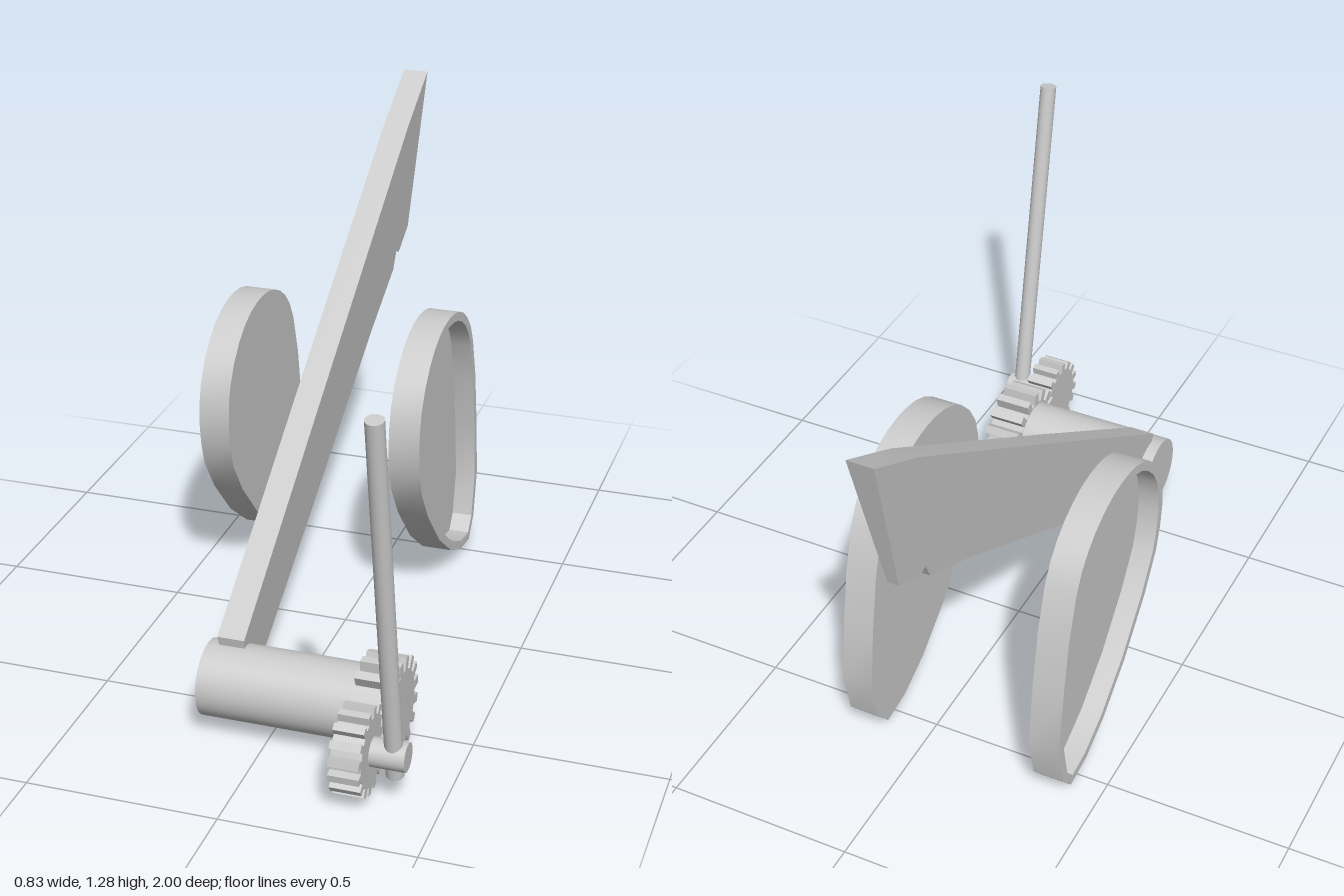
import * as THREE from 'three';
import { toCreasedNormals } from 'three/addons/utils/BufferGeometryUtils.js';

const material = new THREE.MeshStandardMaterial({ color: 0xcccccc });

function addMesh(parent, name, geometry) {
  const mesh = new THREE.Mesh(geometry, material);
  mesh.name = name;
  parent.add(mesh);
  return mesh;
}

const toPoints = (pairs) => pairs.map(([u, y]) => new THREE.Vector2(u, y));

// Side profile given as (-z, y), extruded along x from x0 to x1
function sideExtrude(shape, x0, x1) {
  const g = new THREE.ExtrudeGeometry(shape, { depth: x1 - x0, bevelEnabled: false });
  g.rotateY(Math.PI / 2);
  g.translate(x0, 0, 0);
  return g;
}

// Cylinder lying along x
function axleGeometry(radius, x0, x1, y, z) {
  const g = new THREE.CylinderGeometry(radius, radius, x1 - x0, 40);
  g.rotateZ(-Math.PI / 2);
  g.translate((x0 + x1) / 2, y, z);
  return g;
}

// Gear with narrow straight-sided teeth
function gearShape(u, y, root, outer, teeth, toothWidth, phase) {
  const pts = [];
  const half = Math.asin(toothWidth / 2 / root);
  const halfTip = Math.asin(toothWidth / 2 / outer);
  for (let i = 0; i < teeth; i++) {
    const a = phase + (i / teeth) * Math.PI * 2;
    for (const [r, d] of [[root, -half], [outer, -halfTip], [outer, halfTip], [root, half]]) {
      pts.push(new THREE.Vector2(u + r * Math.cos(a + d), y + r * Math.sin(a + d)));
    }
  }
  return new THREE.Shape(pts);
}

// Clockwise outline moved inwards by a constant distance
function insetOutline(points, distance) {
  const n = points.length;
  const inward = (a, b) => {
    const d = b.clone().sub(a).normalize();
    return new THREE.Vector2(d.y, -d.x);
  };
  return points.map((p, i) => {
    const n1 = inward(points[(i + n - 1) % n], p);
    const n2 = inward(p, points[(i + 1) % n]);
    const scale = distance / (1 + n1.dot(n2));
    return p.clone().add(n1.add(n2).multiplyScalar(scale));
  });
}

// Blade that is full width along its top edge and half as wide along the bottom
function armGeometry() {
  const shape = new THREE.Shape(toPoints([
    [-0.608, 0.262], [0, 0.659], [0.8, 1.176], [1, 1.285], [0.88, 0.846],
    [0.787, 0.798], [0.755, 0.81], [0.732, 0.762], [0.525, 0.66], [0.016, 0.377],
    [-0.484, 0.1], [-0.57, 0.09],
  ]));
  const g = sideExtrude(shape, -0.036, 0.036);
  const p = g.attributes.position;
  for (let i = 0; i < p.count; i++) {
    const below = Math.max(0, 0.659 - 0.64 * p.getZ(i) - p.getY(i));
    p.setX(i, p.getX(i) * (1 - 1.5 * below));
  }
  g.translate(-0.106, 0, 0);
  return toCreasedNormals(g, 0.15);
}

export function createModel() {
  const model = new THREE.Group();
  model.name = 'crankMechanism';

  // Two pans, each open on the side away from the middle
  const outer = toPoints([
    [0, 0.545], [0.004, 0.6], [0.018, 0.655], [0.05, 0.71], [0.095, 0.757], [0.14, 0.788],
    [0.19, 0.808], [0.24, 0.818], [0.285, 0.82], [0.335, 0.815], [0.382, 0.802],
    [0.43, 0.78], [0.472, 0.75], [0.51, 0.71], [0.54, 0.655], [0.577, 0.535], [0.605, 0.375],
    [0.626, 0.2], [0.597, 0.067], [0.55, 0.012], [0.455, 0.026], [0.35, 0.076],
    [0.22, 0.175], [0.096, 0.31], [0.03, 0.41], [0.008, 0.48],
  ]);
  const inner = insetOutline(outer, 0.025);
  const rim = new THREE.Shape(outer);
  rim.holes.push(new THREE.Path([...inner].reverse()));
  const floor = new THREE.Shape(inner);
  for (const [name, x0, x1, floor0, floor1] of [
    ['leftPan', 0.12, 0.205, 0.12, 0.148],
    ['rightPan', -0.418, -0.333, -0.361, -0.333],
  ]) {
    const pan = new THREE.Group();
    pan.name = name;
    addMesh(pan, 'rim', toCreasedNormals(sideExtrude(rim, x0, x1), 0.4));
    addMesh(pan, 'floor', sideExtrude(floor, floor0, floor1));
    model.add(pan);
  }

  // Long notched arm rising from the drum
  addMesh(model, 'arm', armGeometry());

  // Drum and its large gear
  addMesh(model, 'drum', axleGeometry(0.099, -0.17, 0.245, 0.138, 0.6));
  addMesh(model, 'largeGear',
    sideExtrude(gearShape(-0.603, 0.139, 0.103, 0.136, 16, 0.023, 0.1), 0.24, 0.344));

  // Small gear, axle and crank handle
  addMesh(model, 'smallGear',
    sideExtrude(gearShape(-0.8, 0.136, 0.092, 0.114, 16, 0.02, Math.PI / 16), 0.248, 0.327));
  addMesh(model, 'crankAxle', axleGeometry(0.037, 0.3, 0.416, 0.136, 0.8));

  const bottom = new THREE.Vector3(0.381, 0.075, 0.79);
  const top = new THREE.Vector3(0.381, 1.101, 0.977);
  const dir = top.clone().sub(bottom);
  const handle = addMesh(model, 'crankHandle',
    new THREE.CylinderGeometry(0.023, 0.023, dir.length(), 24));
  handle.position.copy(bottom).add(top).multiplyScalar(0.5);
  handle.quaternion.setFromUnitVectors(new THREE.Vector3(0, 1, 0), dir.normalize());

  return model;
}
